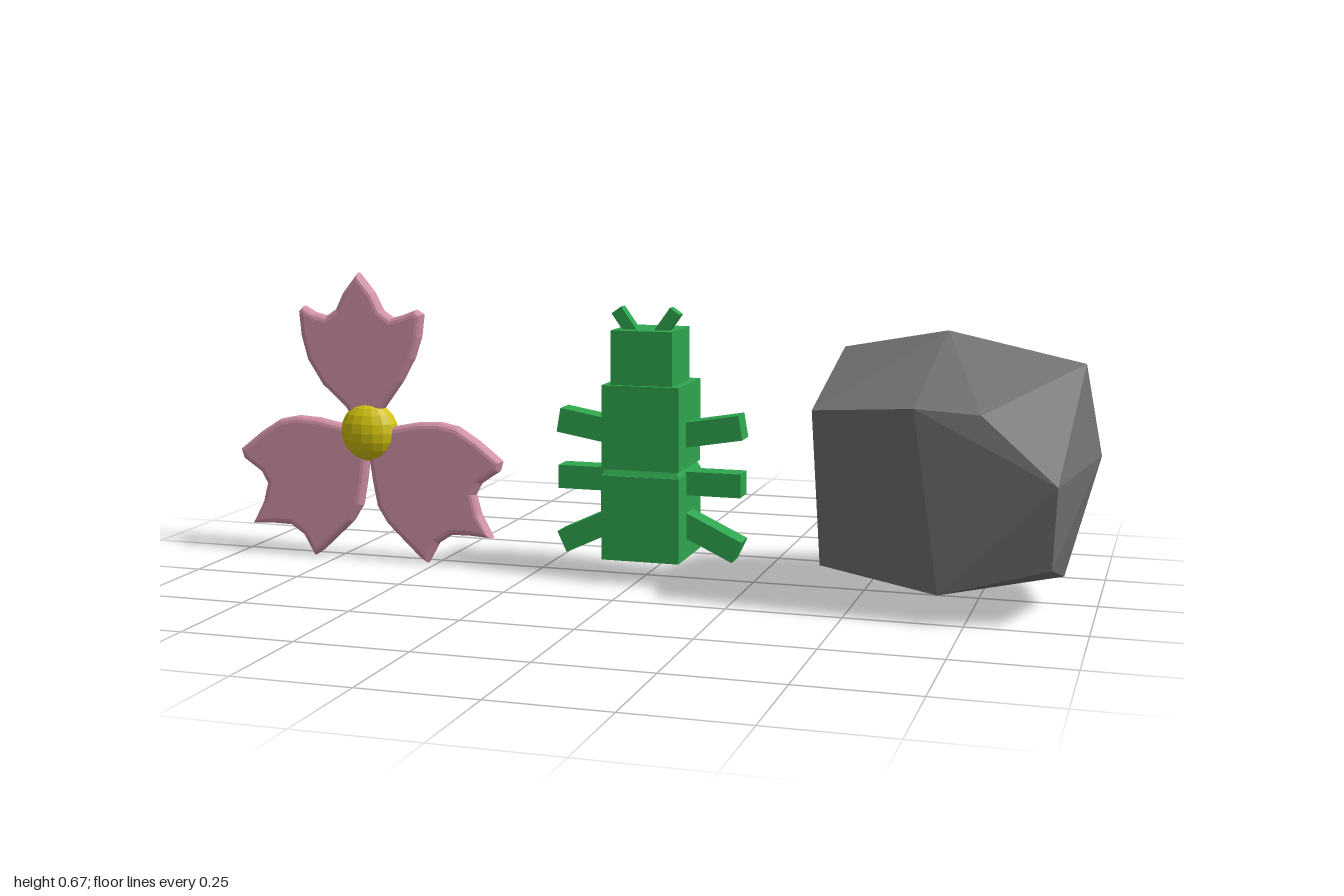
import * as THREE from 'three';
import { ConvexGeometry } from 'three/addons/geometries/ConvexGeometry.js';

const material = (name, color, flatShading = true) => {
  const m = new THREE.MeshStandardMaterial({ color, flatShading });
  m.name = name;
  return m;
};

export function createModel() {
  const pink = material('petal pink', 0xd291a8);
  const yellow = material('pollen yellow', 0xd2c20c);
  const green = material('leaf green', 0x2ea64e);
  const grey = material('stone grey', 0x707070);

  const model = new THREE.Group();
  const addMesh = (parent, name, geometry, mat) => {
    const mesh = new THREE.Mesh(geometry, mat);
    mesh.name = name;
    parent.add(mesh);
    return mesh;
  };
  const addGroup = (name) => {
    const g = new THREE.Group();
    g.name = name;
    model.add(g);
    return g;
  };

  // Flower: three notched, bevelled petals around a flattened centre
  const flower = addGroup('flower');
  flower.position.set(-0.667, 0.309, 0.029);
  const petal = (name, points) => {
    const shape = new THREE.Shape(points.map(([x, y]) => new THREE.Vector2(x, y)));
    const geo = new THREE.ExtrudeGeometry(shape, {
      depth: 0.01, bevelEnabled: true, bevelThickness: 0.012,
      bevelSize: 0.014, bevelOffset: -0.014, bevelSegments: 3,
    });
    geo.translate(0, 0, -0.005);
    addMesh(flower, name, geo, pink);
  };
  petal('upperPetal', [
    [0.018, 0], [0.035, 0.05], [0.087, 0.12], [0.118, 0.175], [0.135, 0.225], [0.142, 0.278],
    [0.125, 0.288], [0.095, 0.276], [0.065, 0.268], [0.04, 0.285], [0.02, 0.325], [-0.018, 0.37],
    [-0.055, 0.325], [-0.075, 0.285], [-0.1, 0.268], [-0.13, 0.275], [-0.158, 0.29], [-0.17, 0.278],
    [-0.165, 0.22], [-0.15, 0.165], [-0.113, 0.107], [-0.055, 0.056], [-0.022, 0]]);
  const lowerPetal = [
    [-0.005, 0.015], [-0.065, 0.015], [-0.125, 0.027], [-0.18, 0.03], [-0.225, 0.021], [-0.275, -0.01],
    [-0.332, -0.055], [-0.325, -0.078], [-0.28, -0.108], [-0.265, -0.135], [-0.277, -0.18], [-0.306, -0.235],
    [-0.25, -0.232], [-0.205, -0.233], [-0.172, -0.255], [-0.145, -0.303], [-0.125, -0.29], [-0.08, -0.248],
    [-0.045, -0.215], [-0.02, -0.175], [-0.008, -0.11], [0, -0.05], [0.01, -0.01]];
  petal('lowerRightPetal', lowerPetal);
  petal('lowerLeftPetal', lowerPetal.map(([x, y]) => [-x, y]).reverse());
  addMesh(flower, 'flowerCentre', new THREE.SphereGeometry(0.07, 16, 10), yellow).scale.z = 0.64;

  // Caterpillar: blocky body, head, three pairs of legs and two feelers
  const bug = addGroup('caterpillar');
  bug.position.set(0.017, 0, 0.016);
  const box = (name, size, pos, tilt = 0) => {
    const mesh = addMesh(bug, name, new THREE.BoxGeometry(...size), green);
    mesh.position.set(...pos);
    mesh.rotation.z = tilt;
  };
  box('lowerBody', [0.178, 0.19, 0.182], [0, 0.155, 0]);
  box('upperBody', [0.176, 0.187, 0.18], [0, 0.3575, 0]);
  box('head', [0.14, 0.125, 0.14], [0, 0.5085, 0.009]);

  // Narrow sloped waist between the body segments
  const waist = new THREE.CylinderGeometry(0.116, 0.125, 0.014, 4);
  waist.rotateY(Math.PI / 4);
  addMesh(bug, 'waist', waist, green).position.y = 0.257;

  for (const side of [-1, 1]) {
    const label = side > 0 ? 'left' : 'right';
    box(label + 'UpperLeg', [0.16, 0.055, 0.055], [side * 0.132, 0.346, 0], side * 0.17);
    box(label + 'MiddleLeg', [0.16, 0.053, 0.055], [side * 0.132, 0.23, 0]);
    box(label + 'LowerLeg', [0.16, 0.052, 0.055], [side * 0.132, 0.114, 0], side * -0.44);
    box(label + 'Feeler', [0.027, 0.072, 0.028], [side * 0.046, 0.584, 0.034], side * -0.62);
  }

  // Boulder: hull of a few corner points
  const corners = [
    // crown
    [0.675, 0.587, 0.03], [0.957, 0.518, -0.036], [0.452, 0.544, 0.016],
    [0.664, 0.508, -0.21], [0.93, 0.434, -0.21], [0.452, 0.485, -0.17],
    // front
    [0.776, 0.443, 0.264], [0.643, 0.453, 0.279], [0.43, 0.437, 0.25],
    [0.93, 0.305, 0.26], [0.92, 0.127, 0.22], [0.696, 0.07, 0.26], [0.445, 0.107, 0.22],
    // sides and back
    [0.995, 0.324, -0.034], [0.413, 0.272, 0], [0.632, 0.36, -0.278],
    [0.467, 0.3, -0.235], [0.935, 0.306, -0.213], [0.7, 0.107, -0.239],
    // underside
    [0.925, 0.128, -0.163], [0.93, 0.072, 0.024], [0.733, 0.045, 0],
    [0.456, 0.052, 0.01], [0.47, 0.11, -0.18],
  ].map((p) => new THREE.Vector3(...p));
  addMesh(model, 'boulder', new ConvexGeometry(corners), grey);

  return model;
}
